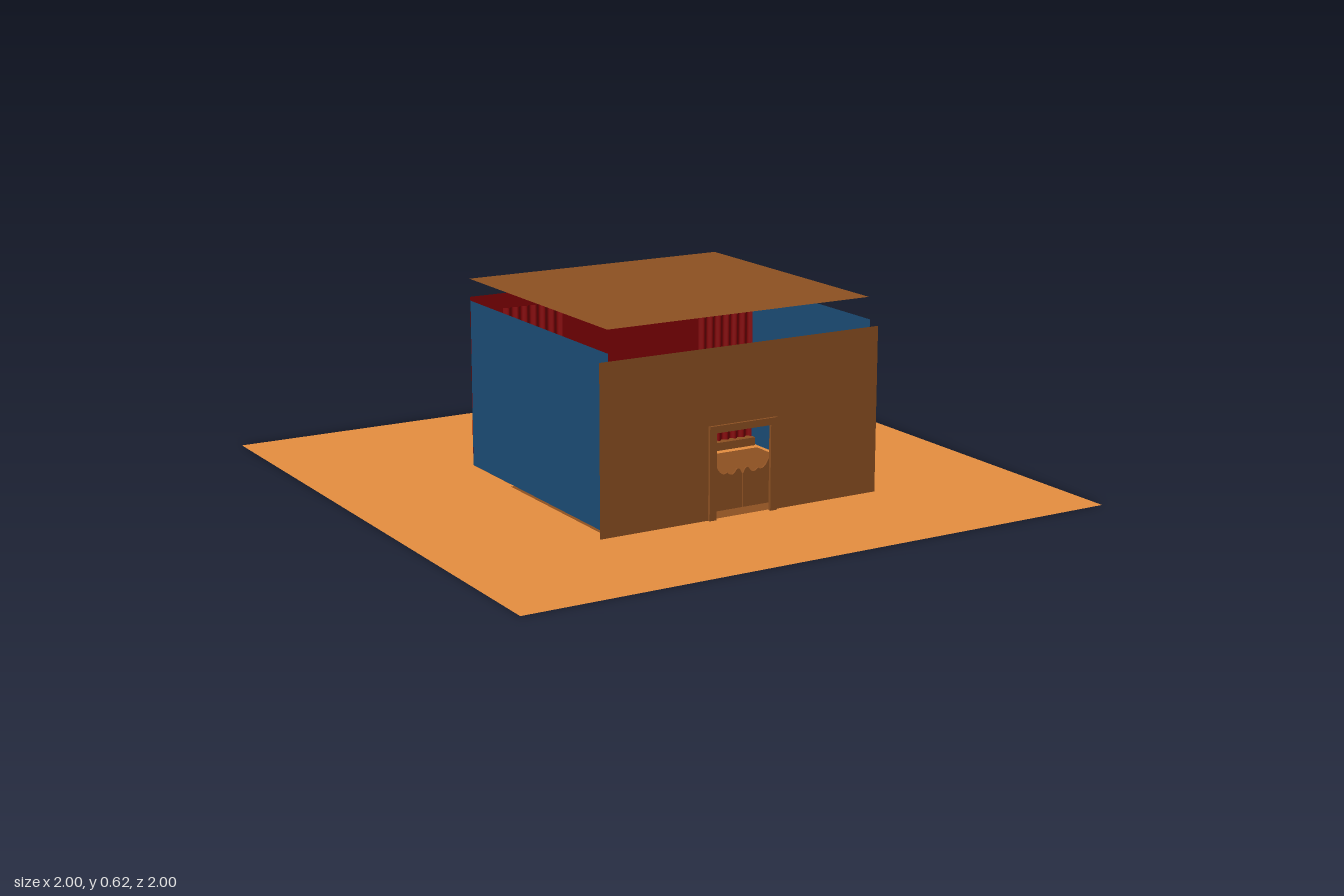
import * as THREE from 'three';

export function createModel() {
  const model = new THREE.Group();
  const material = (name, color) => {
    const m = new THREE.MeshStandardMaterial({ color, side: THREE.DoubleSide });
    m.name = name;
    return m;
  };
  const sand = material('sand', 0xe78f40);
  const wood = material('brown wood', 0x8e5122);
  const blue = material('blue wall', 0x1b4c76);
  const red = material('dark red', 0x860003);

  const add = (name, geometry, mat, x = 0, y = 0, z = 0) => {
    const mesh = new THREE.Mesh(geometry, mat);
    mesh.name = name;
    mesh.position.set(x, y, z);
    model.add(mesh);
    return mesh;
  };
  const sheet = (w, d) => new THREE.PlaneGeometry(w, d).rotateX(-Math.PI / 2);
  const box = (w, h, d) => new THREE.BoxGeometry(w, h, d);

  // Ground, floor and floating flat roof
  add('ground', sheet(2, 2), sand);
  add('floor', sheet(0.92, 0.62), wood, 0, 0.002, 0.215);
  add('roof', sheet(0.917, 0.88), wood, -0.002, 0.62, 0.08);

  // Front wall with a doorway cut up from its lower edge
  const front = new THREE.Shape();
  [[-0.49, 0], [-0.1, 0], [-0.1, 0.27], [0.1, 0.27], [0.1, 0], [0.49, 0], [0.49, 0.527], [-0.49, 0.527]]
    .forEach(([x, y], i) => (i ? front.lineTo(x, y) : front.moveTo(x, y)));
  add('frontWall', new THREE.ShapeGeometry(front), wood, 0, 0, 0.525);

  // Back wall, open just above the stage
  add('backWall', new THREE.PlaneGeometry(0.92, 0.514), red, 0, 0.305, -0.357);

  // Low stage along the back
  add('stage', box(0.916, 0.027, 0.252), wood, 0, 0.0215, -0.229);

  // Door frame
  add('doorLintel', box(0.24, 0.022, 0.01), wood, 0, 0.279, 0.529);

  for (const side of [-1, 1]) {
    // Side wall
    const wall = new THREE.PlaneGeometry(0.878, 0.54).rotateY(Math.PI / 2);
    add('sideWall', wall, blue, side * 0.46, 0.28, 0.084);

    // Door post
    add('doorPost', box(0.024, 0.268, 0.01), wood, side * 0.108, 0.134, 0.529);

    // Swinging half door with a scalloped top
    const door = new THREE.Shape();
    door.moveTo(side * 0.002, 0.025);
    door.lineTo(side * 0.094, 0.025);
    door.lineTo(side * 0.094, 0.165);
    door.quadraticCurveTo(side * 0.075, 0.125, side * 0.055, 0.14);
    door.quadraticCurveTo(side * 0.035, 0.12, side * 0.022, 0.145);
    door.quadraticCurveTo(side * 0.012, 0.155, side * 0.002, 0.13);
    const leaf = new THREE.ExtrudeGeometry(door, { depth: 0.006, bevelEnabled: false, curveSegments: 6 });
    add('swingDoor', leaf, wood, 0, 0, 0.521);

    // Pleated stage curtain
    const curtain = new THREE.PlaneGeometry(0.202, 0.53, 48, 1);
    const p = curtain.attributes.position;
    for (let i = 0; i < p.count; i++) p.setZ(i, 0.006 * Math.sin(p.getX(i) * 200));
    curtain.computeVertexNormals();
    add('stageCurtain', curtain, red, side * 0.356, 0.3, -0.13);
  }

  // Arched door on the inside of one side wall
  const arch = new THREE.Shape();
  arch.moveTo(-0.065, 0.01);
  arch.lineTo(0.065, 0.01);
  arch.lineTo(0.065, 0.27);
  arch.absarc(0, 0.27, 0.065, 0, Math.PI, false);
  arch.lineTo(-0.065, 0.01);
  const archPlate = new THREE.ExtrudeGeometry(arch, { depth: 0.008, bevelEnabled: false }).rotateY(Math.PI / 2);
  add('archedSideDoor', archPlate, wood, -0.459, 0, 0.04);

  return model;
}
